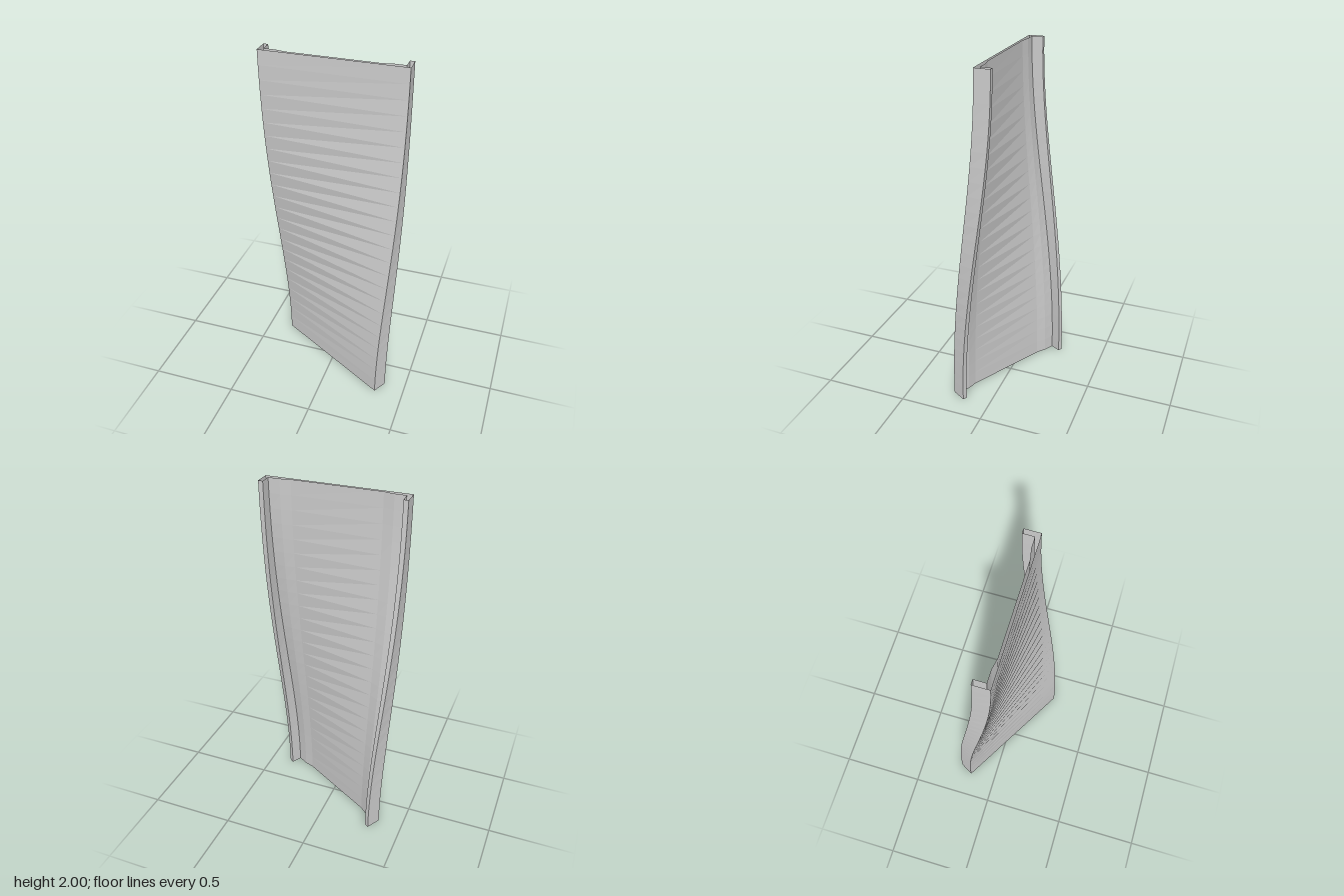
import * as THREE from 'three';

const HEIGHT = 2, STEPS = 24, TWIST = Math.PI / 6;
const CX = -0.002, CZ = 0.02; // twist axis

// Channel cross-section (x, z): flat front, return flange at each edge,
// web thickened in a shallow bevel next to the flanges.
const rightHalf = [
  [0.398, 0.04], [0.398, -0.048], [0.372, -0.048],
  [0.372, 0.015], [0.308, 0.015], [0.25, 0.026],
];
const leftHalf = rightHalf.map(([x, z]) => [-x, z]).reverse();
const section = [...rightHalf, ...leftHalf];

// Section point turned about the axis; the twist eases out towards the top.
function place([x, z], t) {
  const s = 1 - t;
  const a = TWIST * s * s * (3 - 2 * s);
  const dz = z - CZ;
  return [
    CX + x * Math.cos(a) - dz * Math.sin(a),
    t * HEIGHT,
    CZ + x * Math.sin(a) + dz * Math.cos(a),
  ];
}

export function createModel() {
  const group = new THREE.Group();
  group.name = 'twistedPanel';

  // Sweep the closed section upwards; both ends stay open.
  const positions = [];
  for (let i = 0; i < STEPS; i++) {
    const t0 = i / STEPS, t1 = (i + 1) / STEPS;
    section.forEach((p, k) => {
      const q = section[(k + 1) % section.length];
      const a = place(p, t0), b = place(q, t0);
      const c = place(q, t1), d = place(p, t1);
      positions.push(...a, ...b, ...c, ...a, ...c, ...d);
    });
  }
  const geometry = new THREE.BufferGeometry();
  geometry.setAttribute('position', new THREE.Float32BufferAttribute(positions, 3));
  geometry.computeVertexNormals();

  const material = new THREE.MeshStandardMaterial({
    color: 0xcccccc, flatShading: true, side: THREE.DoubleSide,
  });
  const panel = new THREE.Mesh(geometry, material);
  panel.name = 'flangedPanel';
  group.add(panel);
  return group;
}
